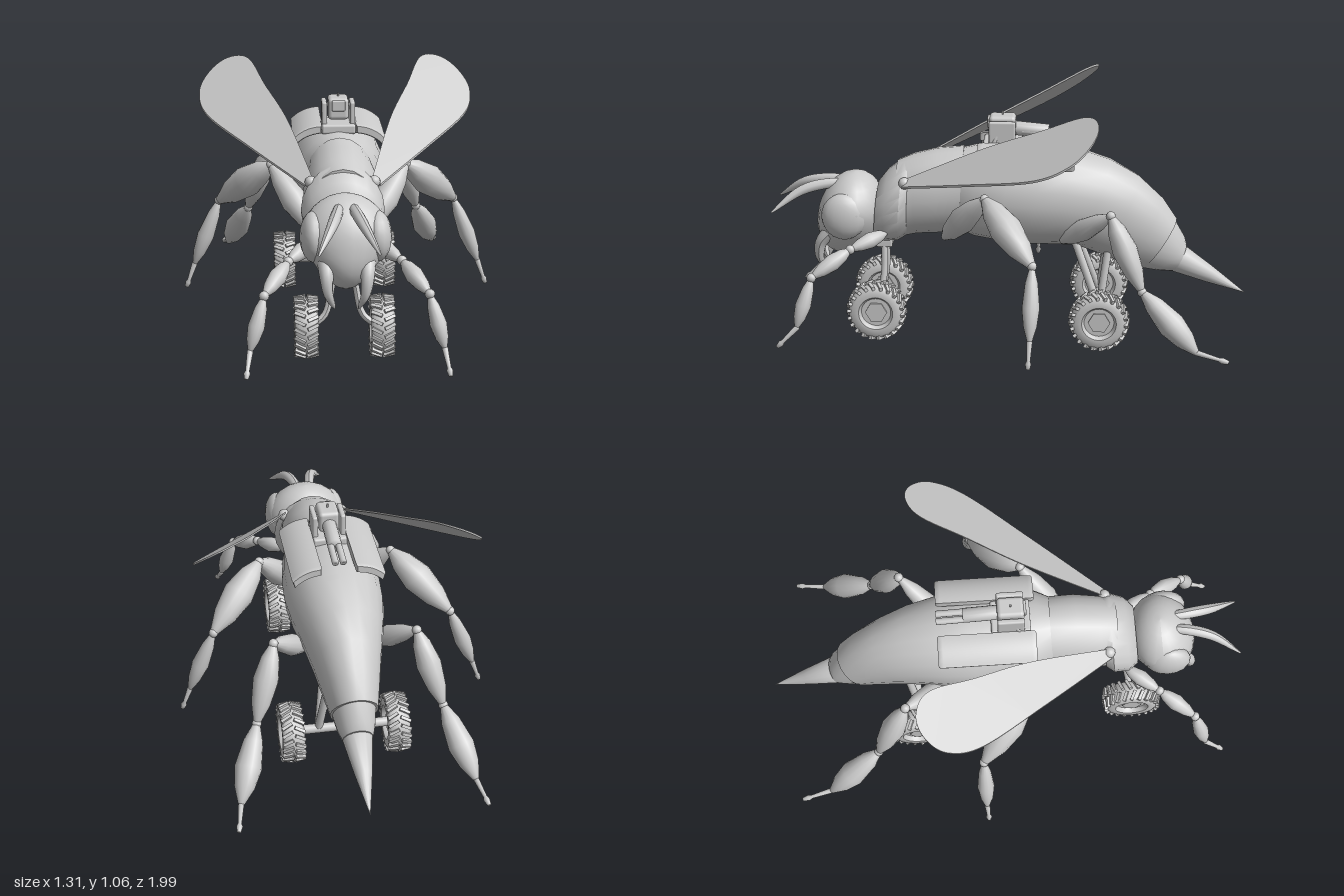
import * as THREE from 'three';
import { toCreasedNormals } from 'three/addons/utils/BufferGeometryUtils.js';
import { RoundedBoxGeometry } from 'three/addons/geometries/RoundedBoxGeometry.js';

const grey = new THREE.MeshStandardMaterial({ color: 0xcccccc });
const thin = new THREE.MeshStandardMaterial({ color: 0xcccccc, side: THREE.DoubleSide });
const V = (x, y, z) => new THREE.Vector3(x, y, z);
const UP = V(0, 1, 0);

function part(parent, name, geo, pos = [0, 0, 0], mat = grey) {
  const m = new THREE.Mesh(geo, mat);
  m.name = name;
  m.position.set(...pos);
  parent.add(m);
  return m;
}

// Skin over elliptical rings given front to back as [topZ, topY, bottomZ, bottomY, halfWidth]
function loft(rings, n = 20) {
  const close = ([tz, ty, bz, by]) => [(tz + bz) / 2, (ty + by) / 2, (tz + bz) / 2, (ty + by) / 2, 0];
  const all = [close(rings[0]), ...rings, close(rings[rings.length - 1])];
  const pos = [], idx = [];
  all.forEach(([tz, ty, bz, by, w], i) => {
    for (let j = 0; j < n; j++) {
      const a = (j / n) * Math.PI * 2, c = Math.cos(a) / 2;
      pos.push(Math.sin(a) * w, (ty + by) / 2 + c * (ty - by), (tz + bz) / 2 + c * (tz - bz));
      if (i === all.length - 1) continue;
      const k = (j + 1) % n, p = i * n;
      idx.push(p + j, p + k, p + n + j, p + k, p + n + k, p + n + j);
    }
  });
  const g = new THREE.BufferGeometry();
  g.setAttribute('position', new THREE.Float32BufferAttribute(pos, 3));
  g.setIndex(idx);
  return toCreasedNormals(g, 0.7);
}

// Lathed piece between two points; profile is [fraction along, radius]
function between(parent, name, a, b, profile, sides = 14) {
  const A = V(...a), d = V(...b).sub(A), len = d.length();
  const g = new THREE.LatheGeometry(profile.map(([t, r]) => new THREE.Vector2(r, t * len)), sides);
  const m = part(parent, name, g, a);
  m.quaternion.setFromUnitVectors(UP, d.normalize());
  return m;
}
const lens = (r, peak = 0.5) => [[-0.02, 0], [0, 0.25 * r], [peak * 0.4, 0.72 * r], [peak, r],
  [peak + (1 - peak) * 0.55, 0.75 * r], [1, 0.25 * r], [1.02, 0]];
const rod = r => [[0, 0], [0, r], [1, r], [1, 0]];

// Curved horn whose radius follows a rule along its length
function horn(points, radius) {
  const curve = new THREE.CatmullRomCurve3(points.map(p => V(...p)));
  const n = 16, g = new THREE.TubeGeometry(curve, n, 1, 10), p = g.attributes.position, v = V(0, 0, 0);
  for (let i = 0; i < p.count; i++) {
    const t = Math.floor(i / 11) / n, c = curve.getPointAt(t);
    v.fromBufferAttribute(p, i).sub(c).multiplyScalar(radius(t)).add(c);
    p.setXYZ(i, v.x, v.y, v.z);
  }
  g.computeVertexNormals();
  return g;
}

function wing(s) {
  const pts = [[.12, .42], [.21, .1], [.30, -.13], [.37, -.31], [.46, -.365], [.54, -.335], [.58, -.25],
    [.54, -.11], [.36, .15], [.15, .44]];
  const shape = new THREE.Shape();
  shape.moveTo(s * .12, -.42);
  shape.splineThru(pts.slice(1).map(([x, z]) => new THREE.Vector2(s * x, -z)));
  const g = new THREE.ExtrudeGeometry(shape, { depth: .009, bevelEnabled: false, curveSegments: 40 });
  g.rotateX(-Math.PI / 2);
  // Tilt the flat wing onto its rising plane
  const p = g.attributes.position;
  for (let i = 0; i < p.count; i++)
    p.setY(i, p.getY(i) + .68 - .473 * (Math.abs(p.getX(i)) - .13) - .637 * (p.getZ(i) - .43));
  g.computeVertexNormals();
  return g;
}

function wheel(parent, name, x, z) {
  const w = new THREE.Group();
  w.name = name;
  w.position.set(x, .125, z);
  const prof = [[.062, -.03], [.072, -.045], [.098, -.046], [.113, -.034], [.117, 0], [.113, .034],
    [.098, .046], [.072, .045], [.062, .03], [.062, -.03]].map(p => new THREE.Vector2(...p));
  part(w, 'tyre', toCreasedNormals(new THREE.LatheGeometry(prof, 32).rotateZ(-Math.PI / 2), 0.8));
  part(w, 'rim', toCreasedNormals(new THREE.CylinderGeometry(.064, .064, .05, 24).rotateZ(Math.PI / 2), 0.8));
  part(w, 'hub', new THREE.CylinderGeometry(.042, .046, .066, 6).toNonIndexed().rotateZ(Math.PI / 2))
    .geometry.computeVertexNormals();
  // Chevron tread lugs
  for (const s of [-1, 1]) for (let i = 0; i < 22; i++) {
    const g = new THREE.BoxGeometry(.046, .016, .013).rotateY(s * 0.45).rotateZ(-s * 0.2)
      .translate(s * .025, .116, 0).rotateX(((i + (s > 0 ? .5 : 0)) / 22) * Math.PI * 2);
    part(w, 'treadLug', g);
  }
  parent.add(w);
}

export function createModel() {
  const root = new THREE.Group();
  root.name = 'wheeledWasp';

  // Body
  part(root, 'abdomen', loft([[.23, .79, .24, .46, .125], [.14, .81, .15, .42, .175], [0, .82, .03, .40, .195],
    [-.14, .82, -.08, .39, .202], [-.27, .805, -.18, .39, .193], [-.42, .755, -.28, .385, .168],
    [-.54, .685, -.38, .345, .14], [-.64, .59, -.48, .305, .115], [-.70, .50, -.56, .285, .097]]));
  part(root, 'tailSegment', loft([[-.69, .50, -.54, .285, .09], [-.735, .42, -.62, .272, .076],
    [-.745, .385, -.69, .268, .062]]));
  between(root, 'sting', [0, .335, -.69], [0, .17, -1], [[0, 0], [0, .066], [.5, .036], [1, 0]], 16);
  part(root, 'thorax', loft([[.47, .74, .46, .41, .135], [.40, .77, .39, .425, .145],
    [.30, .795, .30, .43, .152], [.19, .805, .21, .43, .145]]));
  part(root, 'collar', loft([[.55, .65, .57, .41, .12], [.51, .70, .53, .39, .155],
    [.44, .75, .47, .395, .166], [.415, .755, .43, .42, .145]]));

  // Head, narrowing to the chin
  const head = new THREE.SphereGeometry(1, 22, 16), hp = head.attributes.position;
  for (let i = 0; i < hp.count; i++) {
    const y = hp.getY(i), z = hp.getZ(i);
    const k = y < .2 ? 1 - .3 * (.2 - y) : 1;
    hp.setXYZ(i, hp.getX(i) * .175 * k, .51 + y * .18, .67 + z * .14 + (y < 0 ? -y * .035 : -y * .02));
  }
  head.computeVertexNormals();
  part(root, 'head', head);

  for (const s of [1, -1]) {
    const side = s > 0 ? 'left' : 'right';
    const g = new THREE.Group();
    g.name = side + 'Side';
    root.add(g);
    const at = ([x, y, z]) => [s * x, y, z];

    part(g, 'eye', new THREE.SphereGeometry(1, 16, 12).scale(.055, .10, .095), at([.122, .53, .685]));
    part(g, 'antenna', horn([[.025, .645, .67], [.035, .645, .76], [.06, .62, .87], [.115, .54, .99]].map(at),
      t => .012 + .012 * Math.sin(Math.PI * Math.min(1, t * .9 + .1)) - .008 * t * t));
    part(g, 'mandible', horn([[.08, .46, .74], [.078, .40, .79], [.07, .33, .80], [.045, .27, .78]].map(at),
      t => .032 * (1 - t) ** .6 + .002));
    part(g, 'wing', wing(s), [0, 0, 0], thin);
    part(g, 'wingJoint', new THREE.SphereGeometry(.025, 14, 10), at([.125, .68, .43]));

    // Legs: joints from body to foot, one radius per segment
    const legs = {
      front: [[[.12, .46, .51], [.22, .42, .65], [.315, .33, .80], [.37, .13, .86], [.385, .05, .94]], [.034, .036, .033]],
      middle: [[[.11, .44, .27], [.28, .67, .09], [.50, .47, -.11], [.61, .19, -.105], [.645, .09, -.10]], [.056, .066, .036]],
      hind: [[[.13, .44, -.22], [.29, .61, -.42], [.38, .32, -.55], [.475, .10, -.77], [.50, .07, -.90]], [.046, .052, .055]]
    };
    for (const [name, [j, r]] of Object.entries(legs)) {
      const leg = new THREE.Group();
      leg.name = name + 'Leg';
      g.add(leg);
      const p = j.map(at);
      ['upperLeg', 'thigh', 'shin'].forEach((n, i) => between(leg, n, p[i], p[i + 1], lens(r[i], i === 2 ? .55 : .45)));
      for (const i of [1, 2, 3])
        part(leg, 'joint', new THREE.SphereGeometry(i === 3 ? .012 : .02, 10, 8), p[i]);
      between(leg, 'foot', p[3], p[4], [[0, 0], [0, .012], [.7, .008], [.8, .013], [1, .008], [1, 0]], 10);
    }

    // Wheels and their struts
    wheel(g, 'frontWheel', s * .15, .555);
    wheel(g, 'rearWheel', s * .22, -.38);
    part(g, 'frontStrut', horn([[.035, .38, .53], [.05, .27, .53], [.075, .17, .545], [.13, .125, .555]].map(at), () => .014));
    for (const z of [-.27, -.42])
      between(g, 'rearStrut', at([.06, .43, z]), at([.105, .13, -.38]), rod(.017), 12);

    // Curved back plate
    const plate = new THREE.Shape();
    plate.moveTo(.075, .838);
    plate.quadraticCurveTo(.14, .835, .185, .79);
    plate.lineTo(.178, .765);
    plate.quadraticCurveTo(.14, .805, .075, .812);
    const pg = new THREE.ExtrudeGeometry(plate, { depth: .36, bevelSize: .005, bevelThickness: .02, bevelSegments: 2 });
    if (s < 0) pg.translate(0, 0, -.18).rotateY(Math.PI).translate(0, 0, .18);
    if (s < 0) {
      pg.computeVertexNormals();
    }
    part(g, 'backPlate', toCreasedNormals(pg, 0.6), [0, 0, -.25]);

    // Turret bracket
    part(g, 'turretBracket', new RoundedBoxGeometry(.022, .13, .11, 2, .008), at([.058, .865, .03]));
    between(g, 'bracketFoot', at([.07, .80, .08]), at([.052, .92, .03]), rod(.01), 10);
  }

  // Axle and front mount
  between(root, 'rearAxle', [-.19, .13, -.38], [.19, .13, -.38], rod(.02));
  part(root, 'frontMount', new RoundedBoxGeometry(.10, .035, .07, 2, .008), [0, .385, .53]);

  // Turret with a rear-facing gun
  part(root, 'turretBody', new RoundedBoxGeometry(.085, .09, .11, 3, .016), [0, .90, .03]);
  part(root, 'turretFace', new RoundedBoxGeometry(.055, .045, .02, 2, .006), [0, .915, .083]);
  part(root, 'turretBase', new RoundedBoxGeometry(.14, .04, .16, 2, .01), [0, .82, .03]);
  between(root, 'gunSleeve', [0, .89, 0], [0, .875, -.16], rod(.03));
  for (const x of [-.016, .016])
    between(root, 'gunBarrel', [x, .88, -.05], [x, .865, -.27], rod(.014), 12);
  part(root, 'sight', new THREE.CylinderGeometry(.004, .004, .02, 8), [0, .95, .03]);
  return root;
}
